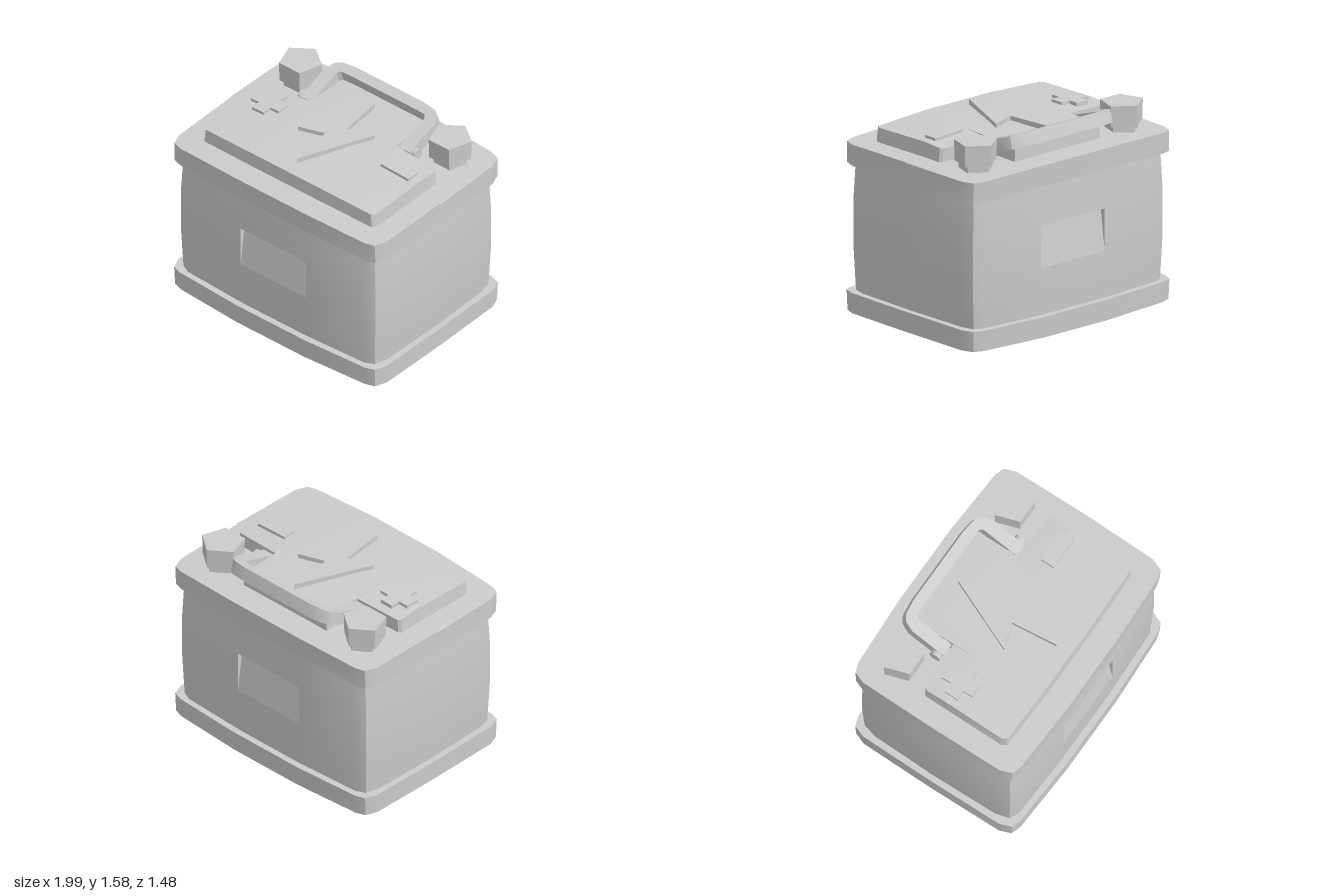
import * as THREE from 'three';
import { toCreasedNormals } from 'three/addons/utils/BufferGeometryUtils.js';

const material = new THREE.MeshStandardMaterial({ color: 0xcccccc });

function add(parent, name, geometry) {
  const mesh = new THREE.Mesh(geometry, material);
  mesh.name = name;
  parent.add(mesh);
  return mesh;
}

function fromTriangles(positions, crease = 0.65) {
  const g = new THREE.BufferGeometry();
  g.setAttribute('position', new THREE.Float32BufferAttribute(positions, 3));
  g.computeVertexNormals();
  return toCreasedNormals(g, crease);
}

// Closed outline from a front-left and a back-left run of [x, z] points, mirrored in x
function outline(front, back = front.map(([x, z]) => [x, -z])) {
  const flip = (pts) => pts.map(([x, z]) => [-x, z]);
  const rear = back.slice(1);
  return [...front, ...flip(front).reverse(), ...flip(rear), ...rear.slice().reverse()];
}

// Levels run bottom to top: [x scale, z scale, height by x]. A z scale of 0 closes a crowned cap.
function loft(ring, levels, skip = () => false) {
  const out = [];
  const at = (i, j) => {
    const [x, z] = ring[i % ring.length], [sx, sz, y] = levels[j];
    return [x * sx, y(Math.abs(x)), z * sz];
  };
  for (let j = 0; j < levels.length - 1; j++) {
    for (let i = 0; i < ring.length; i++) {
      if (skip(i, j)) continue;
      const a = at(i, j), b = at(i + 1, j), c = at(i + 1, j + 1), d = at(i, j + 1);
      out.push(...a, ...d, ...b, ...b, ...d, ...c);
    }
  }
  return out;
}

// Height that changes from the flat middle to the sides
const crown = (middle, side, hx) => (x) =>
  middle + (side - middle) * THREE.MathUtils.clamp((x - 0.32) / (hx - 0.32), 0, 1);

// Upright prism from [x, z] points
function prism(points, height) {
  const shape = new THREE.Shape(points.map(([x, z]) => new THREE.Vector2(x, -z)));
  return new THREE.ExtrudeGeometry(shape, { depth: height, bevelEnabled: false }).rotateX(-Math.PI / 2);
}

export function createModel() {
  const model = new THREE.Group();
  model.name = 'battery';

  // Bulging case with a wedge-shaped grip recess in the front and back
  const quarter = [[0.965, 0], [0.955, 0.54], [0.925, 0.65], [0.85, 0.685], [0.31, 0.705]];
  const n = quarter.length;
  const inStrip = (i) => i === n - 1 || i === 3 * n - 2;
  const caseTriangles = loft(outline(quarter), [
    [0.98, 0.975, () => 0.15], [0.985, 0.98, () => 0.2], [1, 1, () => 0.55],
    [1, 1, () => 0.875], [0.985, 0.985, () => 1.17], [0.98, 0.98, () => 1.22],
  ], (i, j) => j === 2 && inStrip(i));
  add(model, 'case', fromTriangles(caseTriangles));

  const w = 0.31, z = 0.705, depth = 0.045;
  const a = [-w, 0.55, z], b = [w, 0.55, z], c = [w, 0.875, z - depth];
  const e = [-w, 0.875, z - depth], f = [w, 0.875, z], g = [-w, 0.875, z];
  const recess = fromTriangles([a, b, c, a, c, e, e, c, f, e, f, g, a, e, g, b, f, c].flat());
  add(model, 'frontRecess', recess);
  add(model, 'backRecess', recess).rotation.y = Math.PI;

  // Base and top bands with crowned faces
  const band = outline([[0.997, 0], [0.99, 0.6], [0.955, 0.69], [0.88, 0.715], [0.32, 0.74]]);
  add(model, 'baseBand', fromTriangles(loft(band, [
    [0.997, 0, crown(0, 0.045, 1)], [0.997, 0.99, crown(0.03, 0.045, 1)],
    [1, 1, crown(0.19, 0.2, 1)], [0.9, 0.9, crown(0.19, 0.2, 1)],
  ])));
  add(model, 'topBand', fromTriangles(loft(band, [
    [0.9, 0.9, crown(1.18, 1.17, 1)], [1, 0.99, crown(1.18, 1.17, 1)],
    [0.997, 1, crown(1.345, 1.33, 1)], [0.997, 0, crown(1.352, 1.337, 1)],
  ])));

  // Raised lid with a tongue reaching back under the handle
  const lid = outline(
    [[0.81, 0], [0.81, 0.5], [0.785, 0.535], [0.32, 0.55]],
    [[0.81, 0], [0.81, -0.16], [0.79, -0.18], [0.41, -0.2], [0.41, -0.53], [0.32, -0.53]],
  );
  add(model, 'lid', fromTriangles(loft(lid, [
    [1.015, 1.01, () => 1.32], [1, 1, crown(1.46, 1.443, 0.81)], [1, 0, crown(1.475, 1.455, 0.81)],
  ])));

  // Raised symbols on the lid
  add(model, 'boltSymbol', prism([
    [0, -0.44], [0.04, -0.07], [0.245, -0.143], [-0.005, 0.43], [-0.045, 0.067], [-0.248, 0.135],
  ], 0.06)).position.y = 1.445;

  const s = 0.055, l = 0.133;
  const plus = add(model, 'plusSymbol', prism([
    [s, l], [s, s], [l, s], [l, -s], [s, -s], [s, -l],
    [-s, -l], [-s, -s], [-l, -s], [-l, s], [-s, s], [-s, l],
  ], 0.055));
  plus.position.set(-0.617, 1.428, 0.015);
  plus.rotation.z = 0.04;
  const minus = add(model, 'minusSymbol', new THREE.BoxGeometry(2 * l, 0.055, 2 * s));
  minus.position.set(0.613, 1.456, 0.015);
  minus.rotation.z = -0.04;

  // Five-sided terminals on short necks, and the handle pivots
  for (const side of [-1, 1]) {
    const terminal = new THREE.Group();
    terminal.name = side > 0 ? 'leftTerminal' : 'rightTerminal';
    terminal.position.set(side * 0.712, 0, -0.447);
    const head = new THREE.CylinderGeometry(0.165, 0.16, 0.16, 5).rotateY(Math.PI).toNonIndexed();
    head.computeVertexNormals();
    add(terminal, 'terminalHead', head).position.y = 1.47;
    const neck = new THREE.CylinderGeometry(0.13, 0.13, 0.08, 5).rotateY(Math.PI).toNonIndexed();
    neck.computeVertexNormals();
    add(terminal, 'terminalNeck', neck).position.y = 1.36;
    model.add(terminal);

    const pivot = new THREE.CylinderGeometry(0.045, 0.045, 0.145, 10).rotateZ(Math.PI / 2);
    add(model, 'handlePivot', pivot).position.set(side * 0.483, 1.41, -0.265);
  }

  // U-shaped carrying handle leaning backwards
  const outer = [[0.52, -0.04], [0.52, 0.25], [0.49, 0.33], [0.44, 0.362], [0.32, 0.377]];
  const inner = [[0.32, 0.295], [0.4, 0.29], [0.418, 0.265], [0.418, -0.04]];
  const half = [...outer, ...inner];
  const mirrored = ([x, y]) => [-x, y];
  const loop = [...outer, ...outer.map(mirrored).reverse(), ...inner.map(mirrored).reverse(), ...inner];
  // The inner run is reordered so the loop follows the U without crossing
  const left = half.slice(outer.length);
  const path = [...loop.slice(0, 2 * outer.length), ...left.map(mirrored).reverse(), ...left];
  const handleShape = new THREE.Shape(path.map(([x, y]) => new THREE.Vector2(x, y)));
  const handleGeometry = new THREE.ExtrudeGeometry(handleShape, { depth: 0.1, bevelEnabled: false });
  handleGeometry.translate(0, 0, -0.05);
  const handle = add(model, 'handle', toCreasedNormals(handleGeometry, 0.5));
  handle.position.set(0, 1.41, -0.265);
  handle.rotation.x = -1.249;

  return model;
}
